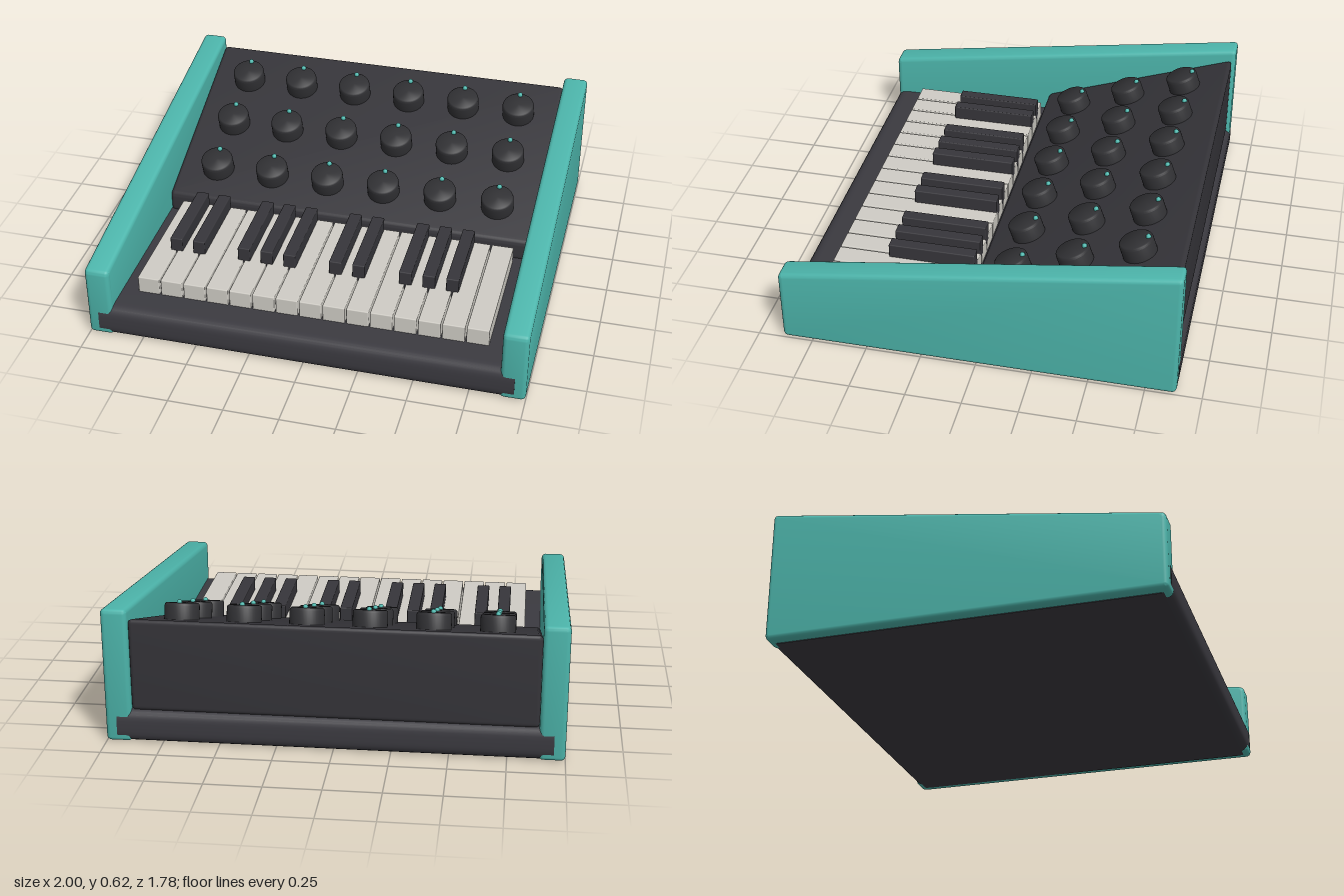
import * as THREE from 'three';
import { toCreasedNormals } from 'three/addons/utils/BufferGeometryUtils.js';
import { RoundedBoxGeometry } from 'three/addons/geometries/RoundedBoxGeometry.js';

const mat = (name, color) => {
  const m = new THREE.MeshStandardMaterial({ color });
  m.name = name;
  return m;
};

// Outline of [z, y] corners, each rounded by radius r
function roundedShape(points, r) {
  const shape = new THREE.Shape();
  const corners = points.map(([x, y]) => new THREE.Vector2(x, y));
  const n = corners.length;
  corners.forEach((c, i) => {
    const toward = (o) => c.clone().add(o.clone().sub(c).setLength(r));
    const a = toward(corners[(i + n - 1) % n]);
    const b = toward(corners[(i + 1) % n]);
    if (i === 0) shape.moveTo(a.x, a.y);
    else shape.lineTo(a.x, a.y);
    shape.quadraticCurveTo(c.x, c.y, b.x, b.y);
  });
  shape.closePath();
  return shape;
}

// Side profile swept across x, centred on x = 0
function sweep(points, r, width, bevel) {
  const g = new THREE.ExtrudeGeometry(roundedShape(points, r), {
    depth: width - 2 * bevel,
    bevelEnabled: bevel > 0,
    bevelSize: bevel,
    bevelThickness: bevel,
    bevelOffset: -bevel,
    bevelSegments: 4,
    curveSegments: 6,
  });
  g.translate(0, 0, -(width - 2 * bevel) / 2);
  g.rotateY(-Math.PI / 2);
  return toCreasedNormals(g, 0.6);
}

export function createModel() {
  const group = new THREE.Group();
  const teal = mat('teal', 0x4db6ac);
  const body = mat('charcoal', 0x3b3a40);
  const panel = mat('dark panel', 0x353439);
  const knobDark = mat('knob black', 0x303033);
  const keyDark = mat('black key', 0x37363b);
  const ivory = mat('ivory', 0xcfccc5);

  const add = (name, geometry, material, x = 0, y = 0, z = 0, parent = group) => {
    const mesh = new THREE.Mesh(geometry, material);
    mesh.name = name;
    mesh.position.set(x, y, z);
    parent.add(mesh);
    return mesh;
  };

  // Base slab with rounded front and back edges
  add('base', sweep([[-0.89, 0], [0.89, 0], [0.89, 0.155], [-0.89, 0.155]], 0.055, 1.9, 0), body);

  // Sloping end cheeks
  const cheek = sweep([[-0.887, 0.003], [0.887, 0.003], [0.887, 0.35], [-0.887, 0.62]], 0.025, 0.115, 0.02);
  add('leftCheek', cheek, teal, 0.9425);
  add('rightCheek', cheek, teal, -0.9425);

  // Wedge-shaped control housing
  const slope = 0.345;
  const topAt = (z) => 0.25 + (0.065 - z) * slope;
  add('controlHousing',
    sweep([[-0.87, 0.145], [0.065, 0.145], [0.065, topAt(0.065)], [-0.87, topAt(-0.87)]], 0.025, 1.77, 0.018),
    panel);

  // Knobs standing square to the sloping face, each with a pointer dot
  const knobProfile = [[0, -0.01], [0.077, -0.01], [0.077, 0.062], [0.075, 0.069], [0.069, 0.074], [0, 0.075]]
    .map(([x, y]) => new THREE.Vector2(x, y));
  const knobGeo = toCreasedNormals(new THREE.LatheGeometry(knobProfile, 36), 0.7);
  const dotGeo = new THREE.SphereGeometry(0.012, 12, 8);
  for (let row = 0; row < 3; row++) {
    for (let col = 0; col < 6; col++) {
      const z = -0.112 - row * 0.275;
      const knob = new THREE.Group();
      knob.name = 'knob';
      knob.position.set((col - 2.5) * 0.277, topAt(z), z);
      knob.rotation.x = Math.atan(slope);
      add('knobBody', knobGeo, knobDark, 0, 0, 0, knob);
      add('knobDot', dotGeo, teal, 0, 0.077, -0.06, knob);
      group.add(knob);
    }
  }

  // White keys
  const pitch = 0.1083;
  const left = -0.813;
  const whiteGeo = new RoundedBoxGeometry(pitch - 0.007, 0.09, 0.64, 2, 0.005);
  for (let i = 0; i < 15; i++) {
    add('whiteKey', whiteGeo, ivory, left + (i + 0.5) * pitch, 0.19, 0.413);
  }

  // Black keys over the joints, in groups of two and three
  const blackGeo = new RoundedBoxGeometry(0.058, 0.1, 0.4, 2, 0.005);
  for (const i of [1, 2, 4, 5, 6, 8, 9, 11, 12, 13]) {
    add('blackKey', blackGeo, keyDark, left + i * pitch, 0.25, 0.293);
  }

  return group;
}
